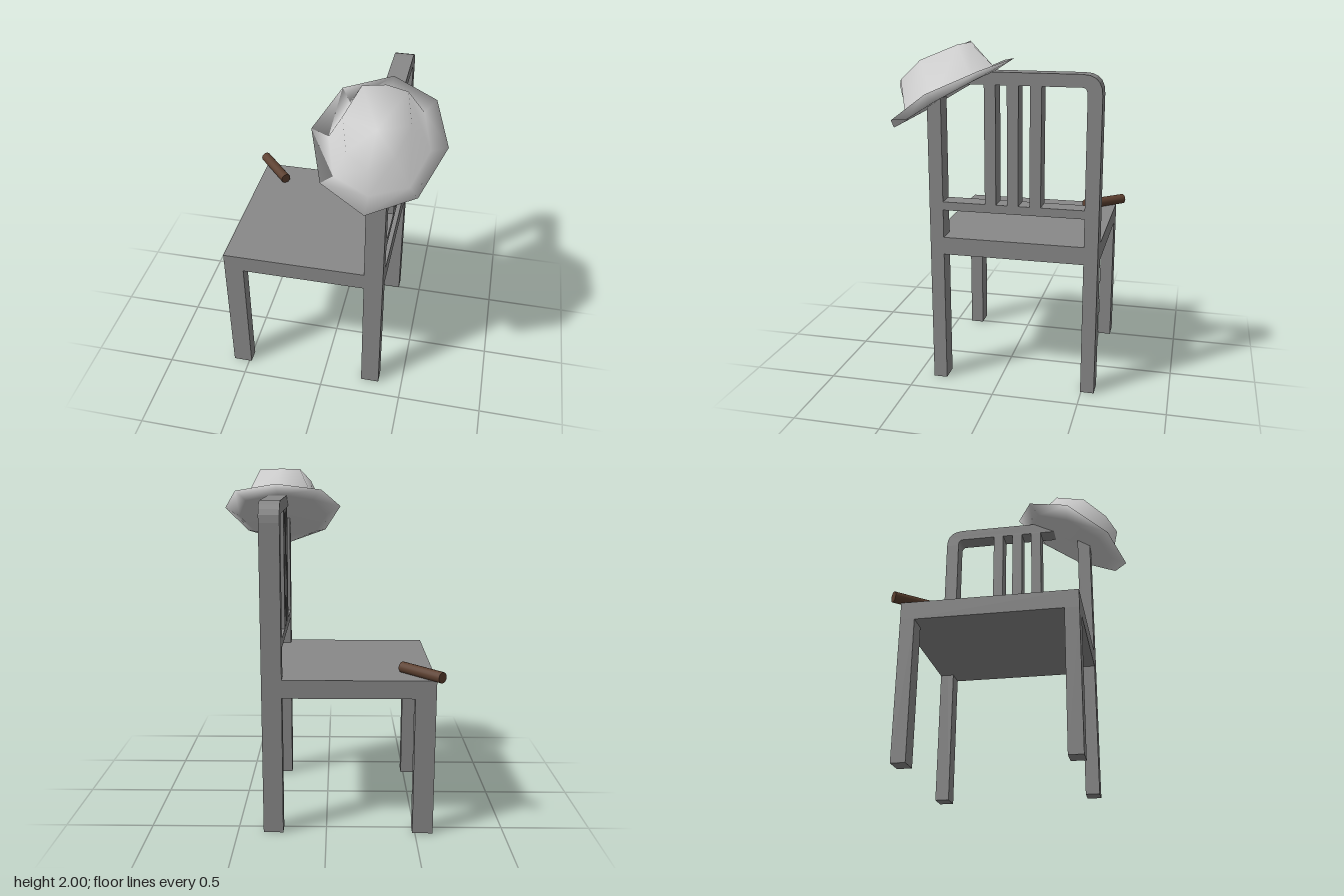
import * as THREE from 'three';
import { mergeVertices } from 'three/addons/utils/BufferGeometryUtils.js';

const darkGrey = new THREE.MeshStandardMaterial({ color: 0x888888 });
const grey = new THREE.MeshStandardMaterial({ color: 0xcccccc });
const brown = new THREE.MeshStandardMaterial({ color: 0x5c4030 });

// Box given by its limits on each axis
function box(name, [x0, x1], [y0, y1], [z0, z1]) {
  const mesh = new THREE.Mesh(new THREE.BoxGeometry(x1 - x0, y1 - y0, z1 - z0), darkGrey);
  mesh.position.set((x0 + x1) / 2, (y0 + y1) / 2, (z0 + z1) / 2);
  mesh.name = name;
  return mesh;
}

// Arch of two posts and a top rail with rounded corners, drawn in z and y
function backFrame([x0, x1]) {
  const [a, b, top, r, w] = [-0.575, 0.4, 1.85, 0.11, 0.08];
  const s = new THREE.Shape();
  s.moveTo(a, 0);
  s.lineTo(a, top - r);
  s.quadraticCurveTo(a, top, a + r, top);
  s.lineTo(b - r, top);
  s.quadraticCurveTo(b, top, b, top - r);
  s.lineTo(b, 0);
  s.lineTo(b - w, 0);
  s.lineTo(b - w, 1.74);
  s.quadraticCurveTo(b - w, 1.78, b - w - 0.03, 1.78);
  s.lineTo(a + w + 0.03, 1.78);
  s.quadraticCurveTo(a + w, 1.78, a + w, 1.74);
  s.lineTo(a + w, 0);
  const geo = new THREE.ExtrudeGeometry(s, { depth: x1 - x0, bevelEnabled: false, curveSegments: 5 });
  geo.rotateY(-Math.PI / 2);
  const mesh = new THREE.Mesh(geo, darkGrey);
  mesh.position.x = x1;
  mesh.name = 'backFrame';
  return mesh;
}

// Smooth eight-sided shell lofted through mirrored half-rings of [x, y, z], front to back
function loft(halves) {
  const rings = halves.map((h) => [...h, ...h.slice(1, 4).reverse().map(([x, y, z]) => [-x, y, z])]);
  const index = [];
  for (let i = 0; i < rings.length - 1; i++) {
    for (let j = 0; j < 8; j++) {
      const k = (j + 1) % 8;
      const [a, b, c, d] = [i * 8 + j, i * 8 + k, (i + 1) * 8 + j, (i + 1) * 8 + k];
      index.push(a, b, d, a, d, c);
    }
  }
  const geo = new THREE.BufferGeometry();
  geo.setAttribute('position', new THREE.Float32BufferAttribute(rings.flat(2), 3));
  geo.setIndex(index);
  const merged = mergeVertices(geo);
  merged.computeVertexNormals();
  return merged;
}

// Hat with upturned brim and dented crown, closed underneath
function hat() {
  const brimEdge = [[0, 0, 0.405], [0.253, 0.035, 0.28], [0.36, 0.058, -0.01], [0.255, 0.027, -0.293], [0, 0, -0.422]];
  const base = [[0, 0.01, 0.3], [0.2, 0.01, 0.22], [0.27, 0.015, 0], [0.2, 0.01, -0.22], [0, 0.005, -0.3]];
  const crest = [[0, 0.19, 0.24], [0.125, 0.203, 0.165], [0.175, 0.235, -0.01], [0.12, 0.208, -0.215], [0, 0.193, -0.247]];
  const under = base.map(([x, y, z]) => [x, y - 0.012, z]);
  const point = (y) => base.map(() => [0, y, 0]);
  const mesh = new THREE.Mesh(loft([point(0.01), under, brimEdge, base, crest, point(0.17)]), grey);
  mesh.position.set(0.285, 1.71, 0.28);
  mesh.rotation.set(Math.PI / 6, -0.03, 0);
  mesh.name = 'hat';
  return mesh;
}

// Short round stick lying across the seat corner
function cigar() {
  const from = new THREE.Vector3(-0.624, 0.922, -0.613);
  const to = new THREE.Vector3(-0.425, 0.922, -0.39);
  const dir = to.clone().sub(from);
  const mesh = new THREE.Mesh(new THREE.CylinderGeometry(0.031, 0.031, dir.length(), 16), brown);
  mesh.position.copy(from).add(to).multiplyScalar(0.5);
  mesh.quaternion.setFromUnitVectors(new THREE.Vector3(0, 1, 0), dir.normalize());
  mesh.name = 'cigar';
  return mesh;
}

export function createModel() {
  const model = new THREE.Group();
  model.name = 'chairWithHat';
  const depth = [0.243, 0.354];
  const inner = [-0.495, 0.32];

  // Seat and the two legs away from the backrest
  model.add(box('seat', [-0.6, 0.243], [0.79, 0.893], [-0.575, 0.4]));
  for (const z of [[-0.575, -0.495], [0.32, 0.4]]) {
    model.add(box('leg', [-0.6, -0.485], [0, 0.79], z));
  }

  // Backrest with seat rail, cross rail and slats
  model.add(backFrame(depth));
  model.add(box('seatRail', depth, [0.79, 0.893], inner));
  model.add(box('crossRail', depth, [1.057, 1.106], inner));
  for (const z of [0.04, -0.088, -0.216]) {
    model.add(box('slat', depth, [1.106, 1.78], [z - 0.032, z + 0.032]));
  }

  model.add(hat(), cigar());
  return model;
}
